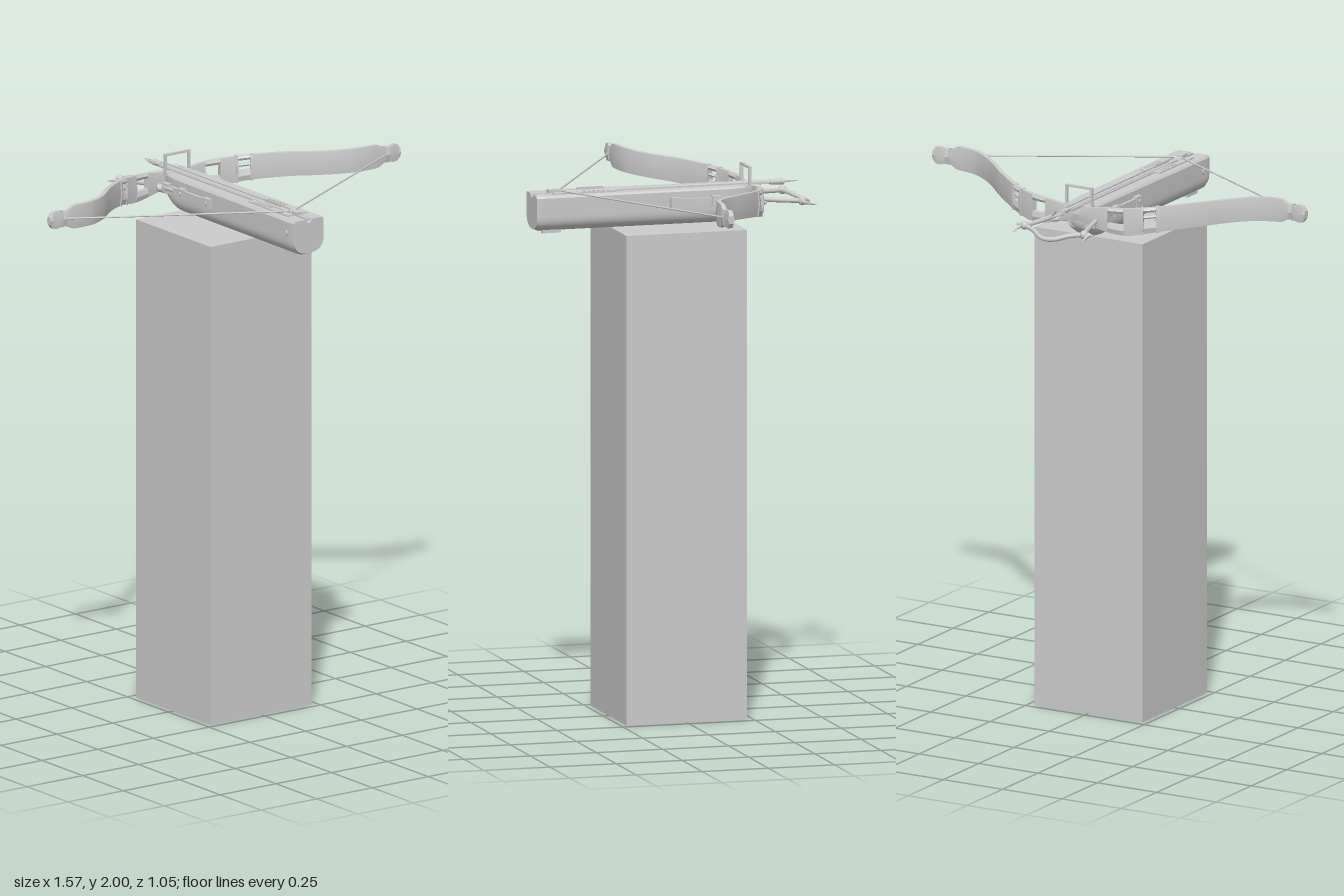
import * as THREE from 'three';
import { toCreasedNormals } from 'three/addons/utils/BufferGeometryUtils.js';

const mat = new THREE.MeshStandardMaterial({ color: 0xcccccc, side: THREE.DoubleSide });
const V = (x, y, z) => new THREE.Vector3(x, y, z);

// Bow stations: x, z, top y, bottom y
const BOW = [
  [0, -0.3, 1.925, 1.875], [0.06, -0.302, 1.93, 1.865], [0.12, -0.3, 1.938, 1.85], [0.2, -0.285, 1.943, 1.842],
  [0.28, -0.25, 1.95, 1.856], [0.4, -0.16, 1.962, 1.872], [0.5, -0.068, 1.969, 1.882], [0.58, -0.016, 1.976, 1.888],
  [0.64, 0, 1.979, 1.891], [0.685, 0.003, 1.978, 1.894], [0.705, 0.003, 1.967, 1.905], [0.722, 0.003, 1.96, 1.913],
  [0.738, 0.002, 1.965, 1.907], [0.76, 0, 1.969, 1.903], [0.776, 0, 1.964, 1.908], [0.785, 0, 1.95, 1.922],
];

// Smooth interpolation through one column of the stations, mirrored in x
function bowAt(x, col) {
  const a = Math.min(Math.abs(x), 0.785);
  let i = 0;
  while (i < BOW.length - 2 && a > BOW[i + 1][0]) i++;
  const p = BOW[i], q = BOW[i + 1], n = BOW.length - 1;
  const slope = (k) => {
    if (k === 0) return 0;
    const l = BOW[k - 1], r = BOW[Math.min(n, k + 1)];
    return (r[col] - l[col]) / (r[0] - l[0]);
  };
  const h = q[0] - p[0], t = (a - p[0]) / h, t2 = t * t, t3 = t2 * t;
  return (2 * t3 - 3 * t2 + 1) * p[col] + (t3 - 2 * t2 + t) * h * slope(i)
    + (3 * t2 - 2 * t3) * q[col] + (t3 - t2) * h * slope(i + 1);
}

// Ridged strip that follows the bow; lo..hi is the part of its height it covers
function bowStrip(x0, x1, lo = 0, hi = 1, half = 0.013) {
  const steps = Math.max(4, Math.ceil((x1 - x0) / 0.011)), pos = [], idx = [];
  for (let i = 0; i <= steps; i++) {
    const x = x0 + ((x1 - x0) * i) / steps, z = bowAt(x, 1);
    const dz = (bowAt(x + 0.004, 1) - bowAt(x - 0.004, 1)) / 0.008, len = Math.hypot(1, dz);
    const top = bowAt(x, 2), bot = bowAt(x, 3);
    const yh = bot + (top - bot) * hi, yl = bot + (top - bot) * lo, ym = (yh + yl) / 2;
    const ring = [[yh, -0.6], [yh, 0.6], [ym, 1], [yl, 0.6], [yl, -0.6], [ym, -1]];
    for (const [y, n] of ring) pos.push(x - (dz / len) * n * half, y, z + (n * half) / len);
  }
  for (let i = 0; i < steps; i++) for (let j = 0; j < 6; j++) {
    const a = i * 6 + j, b = i * 6 + ((j + 1) % 6);
    idx.push(a, b, a + 6, b, b + 6, a + 6);
  }
  for (let j = 1; j < 5; j++) {
    const e = steps * 6;
    idx.push(0, j + 1, j, e, e + j, e + j + 1);
  }
  const g = new THREE.BufferGeometry();
  g.setAttribute('position', new THREE.Float32BufferAttribute(pos, 3));
  g.setIndex(idx);
  return toCreasedNormals(g, 0.4);
}

// Stock: U-shaped section with an arrow groove, narrowing and rising at the nose
function stockGeometry() {
  const s = new THREE.Shape();
  s.moveTo(-0.064, 1.93);
  s.lineTo(-0.07, 1.922);
  s.lineTo(-0.07, 1.855);
  s.bezierCurveTo(-0.07, 1.815, -0.045, 1.796, 0, 1.796);
  s.bezierCurveTo(0.045, 1.796, 0.07, 1.815, 0.07, 1.855);
  s.lineTo(0.07, 1.922);
  s.lineTo(0.064, 1.93);
  s.lineTo(0.014, 1.93);
  s.absarc(0, 1.93, 0.014, 0, -Math.PI, true);
  const g = new THREE.ExtrudeGeometry(s, { depth: 0.815, steps: 50, bevelEnabled: false, curveSegments: 10 });
  g.translate(0, 0, -0.295);
  const p = g.attributes.position;
  for (let i = 0; i < p.count; i++) {
    const z = p.getZ(i), nose = Math.max(0, (-0.2 - z) / 0.095), butt = Math.max(0, (z - 0.5) / 0.02);
    const lift = 1 - 0.34 * nose * nose - 0.05 * butt * butt;
    const width = (0.9 + 0.1 * Math.min(1, (z + 0.295) / 0.7)) * (1 - 0.2 * nose * nose - 0.05 * butt * butt);
    p.setXYZ(i, p.getX(i) * width, 1.93 + (p.getY(i) - 1.93) * lift, z);
  }
  return toCreasedNormals(g, 0.6);
}

export function createModel() {
  const root = new THREE.Group();
  const add = (name, geo, x = 0, y = 0, z = 0) => {
    const m = new THREE.Mesh(geo, mat);
    m.name = name;
    m.position.set(x, y, z);
    root.add(m);
    return m;
  };
  const box = (name, w, h, d, x, y, z) => add(name, new THREE.BoxGeometry(w, h, d), x, y, z);
  const tube = (name, pts, r, seg = 24) =>
    add(name, new THREE.TubeGeometry(new THREE.CatmullRomCurve3(pts), seg, r, 8));
  // Tapered rod between two points
  const rod = (name, a, b, r0, r1 = r0) => {
    const d = b.clone().sub(a);
    const m = add(name, new THREE.CylinderGeometry(r1, r0, d.length(), 10));
    m.position.copy(a).addScaledVector(d, 0.5);
    m.quaternion.setFromUnitVectors(V(0, 1, 0), d.normalize());
    return m;
  };

  box('pedestal', 0.455, 1.798, 0.455, -0.002, 0.899, 0.002);
  add('stock', stockGeometry());

  // Bow: solid runs with windows between the upper and lower rails
  add('bowCentre', bowStrip(-0.13, 0.13));
  for (const s of [-1, 1]) {
    const strip = (name, a, b, lo, hi, h) => add(name, s > 0 ? bowStrip(a, b, lo, hi, h) : bowStrip(-b, -a, lo, hi, h));
    for (const [a, b, lo, hi] of [[0.13, 0.19, 0.38, 0.8], [0.25, 0.3, 0.42, 0.82]]) {
      strip('bowLowerRail', a, b, 0, lo);
      strip('bowUpperRail', a, b, hi, 1);
    }
    strip('bowInnerWeb', 0.19, 0.25);
    strip('bowLimb', 0.3, 0.785);
    strip('bowClamp', 0.247, 0.256, -0.02, 1.02, 0.018);
    strip('bowClamp', 0.294, 0.305, -0.02, 1.02, 0.018);
    strip('windowBar', 0.255, 0.295, 0.57, 0.68, 0.009);
    strip('nockBand', 0.715, 0.732, -0.08, 1.08, 0.017);

    // String half
    rod('bowString', V(s * 0.722, 1.937, 0.012), V(s * 0.012, 1.938, 0.413), 0.0032);

    // Side rail and its mounts
    box('sideRail', 0.01, 0.026, 0.3, s * 0.075, 1.885, -0.13);
    for (const z of [0, -0.155, -0.25]) {
      box('railMount', 0.018, 0.036, 0.035, s * 0.074, 1.885, z);
      rod('railBolt', V(s * 0.08, 1.885, z), V(s * 0.088, 1.885, z), 0.008);
    }
    // Front fork arm with its claw
    tube('forkArm', [V(s * 0.076, 1.886, -0.2), V(s * 0.08, 1.886, -0.29), V(s * 0.098, 1.88, -0.38), V(s * 0.122, 1.877, -0.465)], 0.009);
    rod('forkBrace', V(s * 0.06, 1.868, -0.27), V(s * 0.09, 1.872, -0.34), 0.012, 0.007);
    add('forkKnuckle', new THREE.SphereGeometry(0.016, 12, 8), s * 0.125, 1.877, -0.465);
    rod('clawSpike', V(s * 0.14, 1.877, -0.455), V(s * 0.143, 1.862, -0.517), 0.009, 0.001);
    rod('clawSpur', V(s * 0.12, 1.877, -0.465), V(s * 0.16, 1.877, -0.46), 0.01, 0.003);

    // Stock fittings
    rod('buttPin', V(s * 0.06, 1.88, 0.475), V(s * 0.076, 1.88, 0.475), 0.012);
    box('underStud', 0.02, 0.014, 0.07, s * 0.025, 1.796, 0.455);
    box('topRail', 0.006, 0.008, 0.66, s * 0.018, 1.931, -0.04);
    box('deckPlate', 0.024, 0.006, 0.24, s * 0.032, 1.932, 0.33);
    for (let i = 0; i < 6; i++) box('deckRib', 0.016, 0.004, 0.006, s * 0.032, 1.936, 0.24 + i * 0.018);
    // Sight frame post
    box('sightPost', 0.008, 0.085, 0.012, s * 0.053, 1.957, -0.288);
    rod('noseBolt', V(s * 0.066, 1.88, -0.27), V(s * 0.092, 1.88, -0.285), 0.02, 0.012);
  }
  box('sightBar', 0.114, 0.008, 0.012, 0, 1.996, -0.288);
  box('sightBase', 0.114, 0.01, 0.03, 0, 1.926, -0.288);
  tube('forkBow', [V(-0.125, 1.877, -0.465), V(-0.075, 1.87, -0.485), V(-0.03, 1.858, -0.513), V(0, 1.855, -0.518),
    V(0.03, 1.858, -0.513), V(0.075, 1.87, -0.485), V(0.125, 1.877, -0.465)], 0.009, 40);

  // Nose cap under the bow
  const nose = add('noseCap', new THREE.SphereGeometry(1, 24, 16), 0, 1.872, -0.24);
  nose.scale.set(0.06, 0.058, 0.066);

  // Arrow lying in the groove
  rod('arrowShaft', V(0, 1.93, 0.4), V(0, 1.93, -0.43), 0.007);
  rod('arrowSocket', V(0, 1.93, -0.38), V(0, 1.93, -0.43), 0.01, 0.012);
  const head = add('arrowHead', new THREE.ConeGeometry(0.026, 0.08, 4), 0, 1.93, -0.455);
  head.rotation.x = -Math.PI / 2;
  head.scale.z = 0.25;
  for (let i = 0; i < 3; i++) {
    const vane = box('arrowVane', 0.002, 0.016, 0.1, 0, 1.93, 0.3);
    const a = (i * Math.PI * 2) / 3;
    vane.rotation.z = a;
    vane.position.x -= Math.sin(a) * 0.012;
    vane.position.y += Math.cos(a) * 0.008;
  }

  // String catch and release
  const nut = add('catchNut', new THREE.CylinderGeometry(0.016, 0.016, 0.03, 16), 0, 1.926, 0.418);
  nut.rotation.z = Math.PI / 2;
  box('releaseBlock', 0.022, 0.014, 0.05, 0, 1.936, 0.435);
  box('buttSlot', 0.01, 0.01, 0.05, 0, 1.926, 0.485);
  return root;
}
